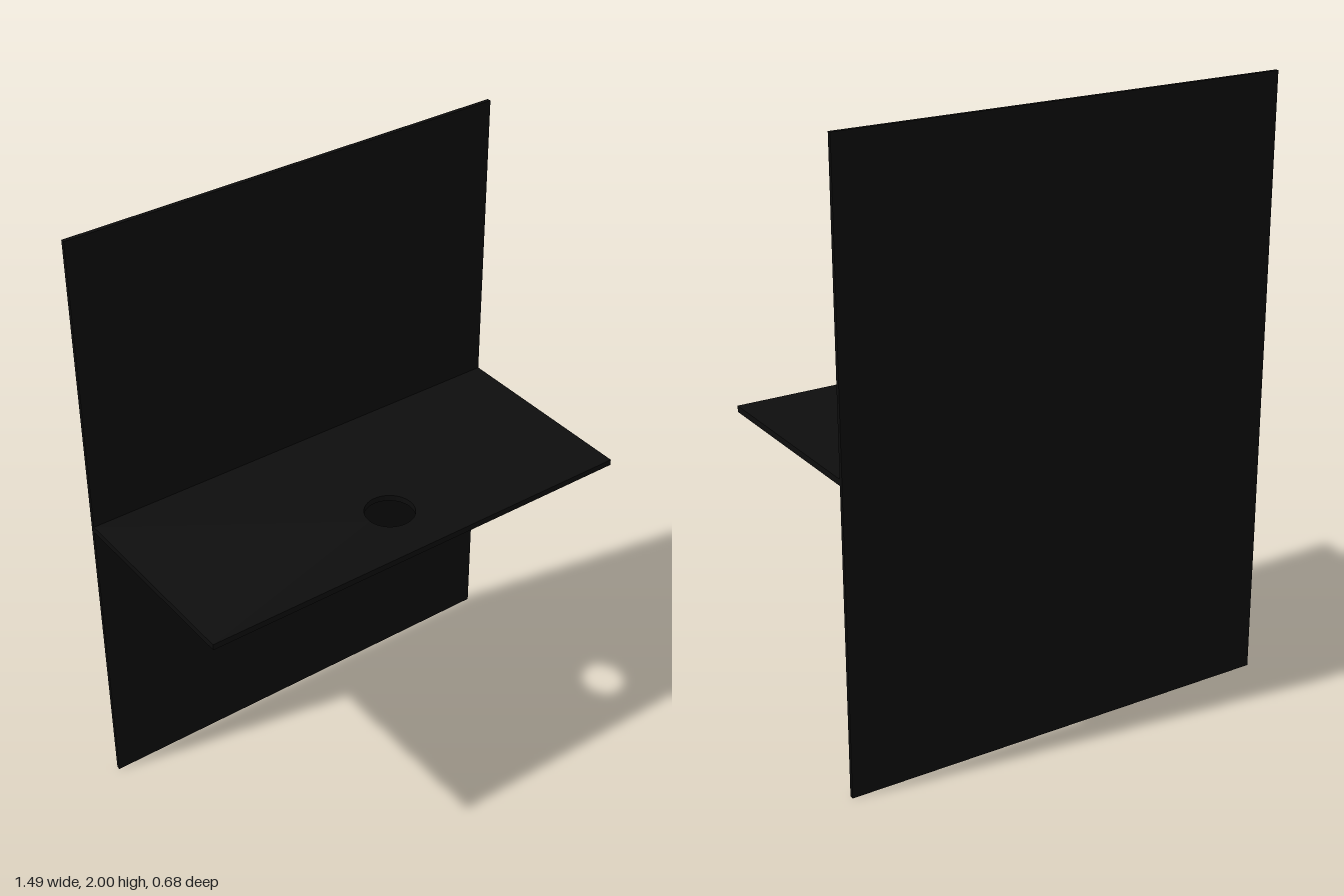
import * as THREE from 'three';

export function createModel() {
  const model = new THREE.Group();
  model.name = 'panelWithShelf';
  const black = new THREE.MeshStandardMaterial({ color: 0x0d0d0d });
  black.name = 'black';

  const halfWidth = 0.747, back = -0.338, panelDepth = 0.013, front = 0.338;

  // Upright back panel
  const panel = new THREE.Mesh(new THREE.BoxGeometry(halfWidth * 2, 2, panelDepth), black);
  panel.name = 'backPanel';
  panel.position.set(0, 1, back + panelDepth / 2);
  model.add(panel);

  // Shelf outline in plan (shape y becomes z), with a round hole
  const shelfBack = back + panelDepth;
  const outline = new THREE.Shape([
    new THREE.Vector2(-halfWidth, shelfBack),
    new THREE.Vector2(halfWidth, shelfBack),
    new THREE.Vector2(halfWidth, front),
    new THREE.Vector2(-halfWidth, front),
  ]);
  const hole = new THREE.Path();
  hole.absarc(0.022, 0.138, 0.079, 0, Math.PI * 2, true);
  outline.holes.push(hole);

  const shelfGeometry = new THREE.ExtrudeGeometry(outline, {
    depth: 0.02, bevelEnabled: false, curveSegments: 48,
  });
  shelfGeometry.rotateX(Math.PI / 2);
  const shelf = new THREE.Mesh(shelfGeometry, black);
  shelf.name = 'shelf';
  shelf.position.y = 1.022;
  model.add(shelf);

  return model;
}
